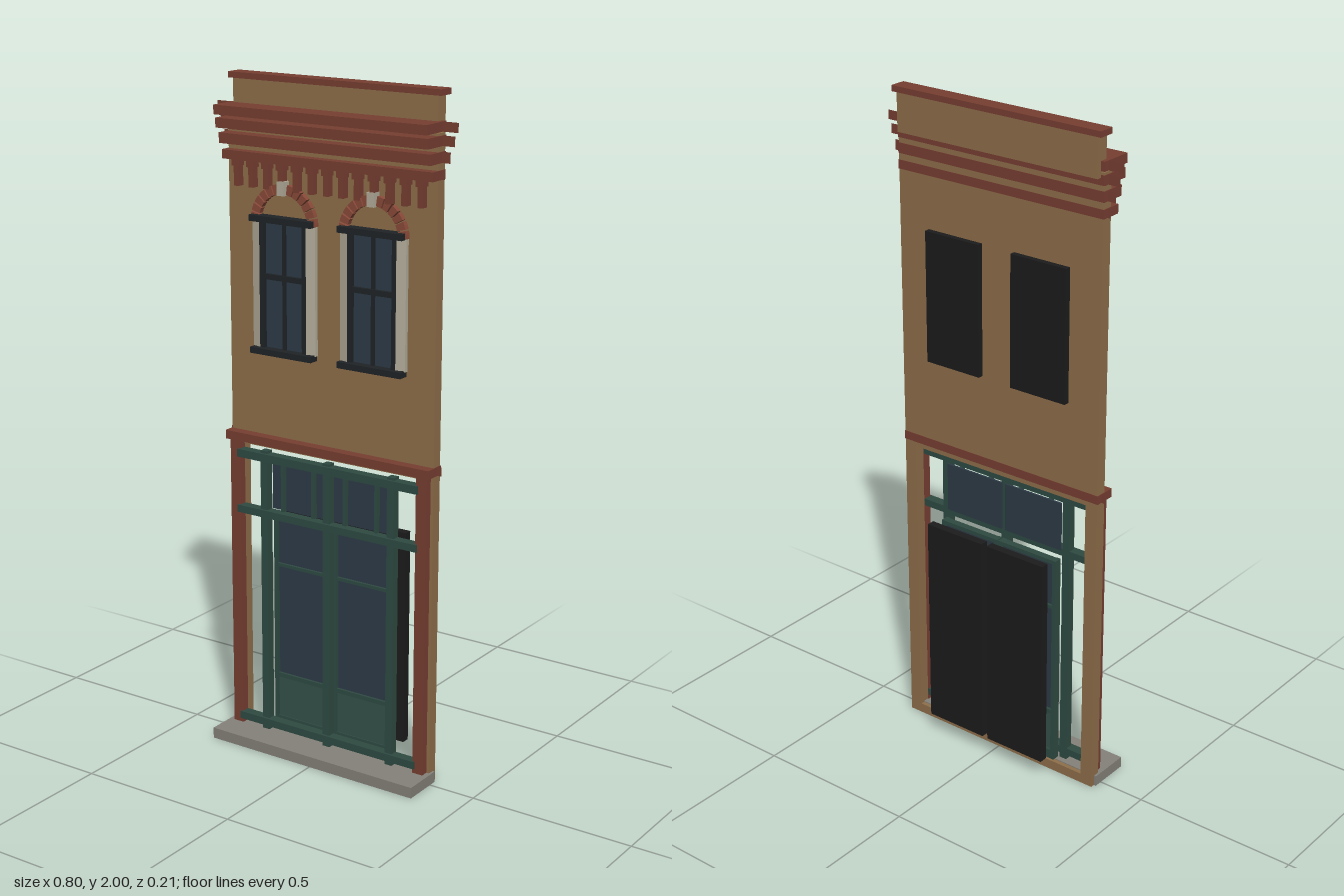
import * as THREE from 'three';

const mat = (name, color, side = THREE.FrontSide) => {
  const m = new THREE.MeshStandardMaterial({ color, side });
  m.name = name;
  return m;
};

export function createModel() {
  const wallTan = mat('wall tan', 0x8f6f4a);
  const trimRed = mat('trim red', 0x783f32, THREE.DoubleSide);
  const brickRed = mat('arch brick', 0x8a4a39);
  const green = mat('storefront green', 0x2e4a42);
  const panelGreen = mat('door panel green', 0x35504a);
  const glass = mat('window glass', 0x2d3b47);
  const iron = mat('black iron', 0x1f2426);
  const backing = mat('dark backing', 0x1c1c1c);
  const stone = mat('pale stone', 0xb3ad9a);
  const paving = mat('paving grey', 0x85817a);

  const model = new THREE.Group();
  model.name = 'storefrontFacade';
  const group = (name, parent = model) => {
    const g = new THREE.Group();
    g.name = name;
    parent.add(g);
    return g;
  };
  // Box given by its extents on each axis
  const box = (name, m, x0, x1, y0, y1, z0, z1, parent = model) => {
    const b = new THREE.Mesh(new THREE.BoxGeometry(x1 - x0, y1 - y0, z1 - z0), m);
    b.position.set((x0 + x1) / 2, (y0 + y1) / 2, (z0 + z1) / 2);
    b.name = name;
    parent.add(b);
    return b;
  };
  const WB = -0.038, WF = -0.005; // wall back and front

  // Wall with the shop opening
  const outline = new THREE.Shape();
  outline.moveTo(-0.348, 0).lineTo(0.348, 0).lineTo(0.348, 1.885).lineTo(-0.348, 1.885).closePath();
  const opening = new THREE.Path();
  opening.moveTo(-0.308, 0.03).lineTo(-0.308, 0.92).lineTo(0.308, 0.92).lineTo(0.308, 0.03).closePath();
  outline.holes.push(opening);
  const wall = new THREE.Mesh(
    new THREE.ExtrudeGeometry(outline, { depth: WF - WB, bevelEnabled: false }), wallTan);
  wall.position.z = WB;
  wall.name = 'wall';
  model.add(wall);

  box('pavement', paving, -0.355, 0.355, 0, 0.033, -0.025, 0.103);
  box('parapet', wallTan, -0.338, 0.338, 1.87, 1.983, -0.054, -0.016);
  box('parapetCap', trimRed, -0.351, 0.351, 1.983, 2, -0.06, -0.01);

  // Moulding courses, each with a thin plate showing past the wall ends
  const course = (name, y0, y1, front, half, parent) => {
    box(name, trimRed, -0.35, 0.35, y0, y1, WB - 0.001, front, parent);
    for (const s of [-1, 1]) {
      const plate = new THREE.Mesh(new THREE.PlaneGeometry(half - 0.35, y1 - y0), trimRed);
      plate.position.set(s * (half + 0.35) / 2, (y0 + y1) / 2, -0.022);
      plate.name = name + 'Return';
      parent.add(plate);
    }
  };
  const cornice = group('cornice');
  course('corniceTop', 1.888, 1.915, 0.061, 0.398, cornice);
  course('corniceUpper', 1.85, 1.878, 0.053, 0.388, cornice);
  course('corniceMiddle', 1.805, 1.835, 0.038, 0.375, cornice);
  course('corniceLower', 1.76, 1.786, 0.025, 0.359, cornice);
  course('shopBand', 0.934, 0.96, 0.026, 0.363, model);

  // Brackets under the cornice
  for (let i = 0; i < 13; i++) {
    const x = -0.306 + i * 0.051;
    box('bracket', trimRed, x - 0.008, x + 0.008, 1.685, 1.76, WF, 0.018, cornice);
    box('bracketHead', trimRed, x - 0.012, x + 0.012, 1.742, 1.76, WF, 0.022, cornice);
  }

  // Upper windows
  for (const cx of [-0.15, 0.15]) {
    const w = group('upperWindow');
    w.position.x = cx;
    box('glass', glass, -0.075, 0.075, 1.22, 1.6, WF, 0.001, w);
    for (const s of [-1, 1]) {
      box('stile', iron, s * 0.073 - 0.007, s * 0.073 + 0.007, 1.22, 1.6, WF, 0.014, w);
      // Splayed stone jamb: a wedge running from the sash back to the wall
      const jamb = new THREE.BoxGeometry(0.028, 0.375, 0.018);
      const p = jamb.attributes.position;
      for (let i = 0; i < p.count; i++)
        if (p.getX(i) * s > 0 && p.getZ(i) > 0) p.setZ(i, 0.003);
      const flat = jamb.toNonIndexed();
      flat.computeVertexNormals();
      const j = new THREE.Mesh(flat, stone);
      j.position.set(s * 0.094, 1.41, 0.004);
      j.name = 'jamb';
      w.add(j);
    }
    box('mullion', iron, -0.005, 0.005, 1.22, 1.6, WF, 0.008, w);
    box('meetingRail', iron, -0.073, 0.073, 1.426, 1.442, WF, 0.01, w);
    box('sill', iron, -0.106, 0.106, 1.208, 1.226, WF, 0.028, w);
    box('lintel', iron, -0.106, 0.106, 1.592, 1.61, WF, 0.028, w);
    box('windowBacking', backing, -0.094, 0.094, 1.212, 1.605, -0.055, WB, w);

    // Arch of separate bricks with a keystone
    const n = 13, step = Math.PI / n;
    for (let i = 0; i < n; i++) {
      const a = i * step + 0.02, b = (i + 1) * step - 0.02;
      const s = new THREE.Shape();
      s.absarc(0, 0, 0.111, a, b, false);
      s.absarc(0, 0, 0.083, b, a, true);
      s.closePath();
      const brick = new THREE.Mesh(
        new THREE.ExtrudeGeometry(s, { depth: 0.016, bevelEnabled: false, curveSegments: 2 }), brickRed);
      brick.position.set(0, 1.592, WF);
      brick.name = 'archBrick';
      w.add(brick);
    }
    box('keystone', stone, -0.012, 0.012, 1.672, 1.712, WF, 0.022, w);
  }

  // Shop front: pilasters, rails and posts
  const shop = group('shopFront');
  for (const s of [-1, 1])
    box('pilaster', trimRed, s * 0.322 - 0.017, s * 0.322 + 0.017, 0.033, 0.934, WF - 0.001, 0.018, shop);
  for (const [name, y0, y1] of [['topRail', 0.884, 0.908], ['transomRail', 0.713, 0.735], ['bottomRail', 0.047, 0.07]])
    box(name, green, -0.312, 0.312, y0, y1, -0.006, 0.024, shop);
  for (const x of [-0.22, 0, 0.22])
    box('post', green, x - 0.012, x + 0.012, 0.033, 0.915, -0.008, 0.016, shop);

  // Transom lights and their bars
  for (const s of [-1, 1]) {
    box('transomGlass', glass, s * 0.107 - 0.1, s * 0.107 + 0.1, 0.735, 0.884, -0.016, -0.01, shop);
    for (const x of [0.055, 0.163])
      box('transomBar', green, s * x - 0.005, s * x + 0.005, 0.735, 0.884, -0.01, 0.004, shop);
  }

  // Paired doors with dark boards behind
  for (const s of [-1, 1]) {
    const d = group('door', shop);
    d.position.x = s * 0.106;
    box('doorGlass', glass, -0.093, 0.093, 0.2, 0.7, -0.034, -0.028, d);
    box('doorPanel', panelGreen, -0.093, 0.093, 0.07, 0.2, -0.036, -0.024, d);
    for (const t of [-1, 1])
      box('doorStile', green, t * 0.098 - 0.006, t * 0.098 + 0.006, 0.04, 0.71, -0.042, -0.018, d);
    for (const [y0, y1] of [[0.04, 0.07], [0.197, 0.21], [0.552, 0.562], [0.698, 0.71]])
      box('doorRail', green, -0.095, 0.095, y0, y1, -0.042, -0.02, d);
    box('doorBacking', backing, s * 0.004 - 0.101, s * 0.004 + 0.101, 0.066, 0.72, -0.105, -0.08, d);
  }
  return model;
}
